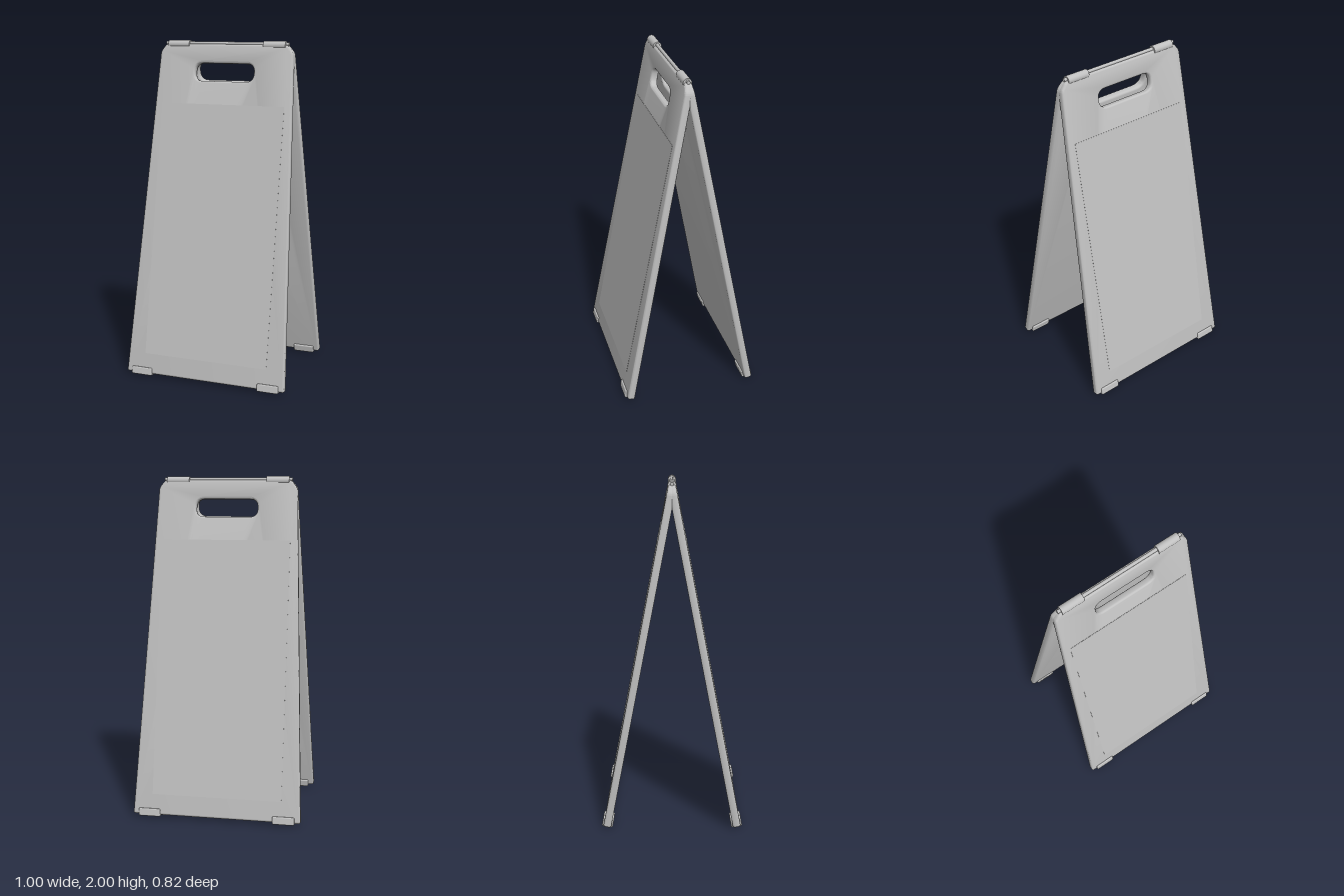
import * as THREE from 'three';
import { toCreasedNormals } from 'three/addons/utils/BufferGeometryUtils.js';
import { RoundedBoxGeometry } from 'three/addons/geometries/RoundedBoxGeometry.js';

const TILT = Math.atan(0.38 / 1.96);   // lean of each board
const LENGTH = 1.997;                  // board length along its slope
const THICK = 0.045;
const BEVEL = 0.012;

// Closed outline with rounded corners; each corner is [x, y, radius]
function roundedOutline(corners, PathClass) {
  const path = new PathClass();
  corners.forEach(([x, y, r], i) => {
    const p = new THREE.Vector2(x, y);
    const towards = (j) => {
      const c = corners[(j + corners.length) % corners.length];
      return new THREE.Vector2(c[0], c[1]).sub(p).setLength(r).add(p);
    };
    const a = towards(i - 1), b = towards(i + 1);
    if (i === 0) path.moveTo(a.x, a.y); else path.lineTo(a.x, a.y);
    path.quadraticCurveTo(x, y, b.x, b.y);
  });
  path.closePath();
  return path;
}

// Tapered board with a grip slot; its outer face lies on z = 0
function boardGeometry() {
  const shape = roundedOutline([
    [-0.5, 0, 0.015], [0.5, 0, 0.015],
    [0.415, 1.95, 0.015], [0.38, LENGTH, 0.02],
    [-0.38, LENGTH, 0.02], [-0.415, 1.95, 0.015],
  ], THREE.Shape);
  shape.holes.push(roundedOutline([
    [-0.185, 1.778, 0.05], [-0.185, 1.885, 0.05],
    [0.185, 1.885, 0.05], [0.185, 1.778, 0.05],
  ], THREE.Path));
  const geo = new THREE.ExtrudeGeometry(shape, {
    depth: THICK - 2 * BEVEL, bevelEnabled: true, bevelThickness: BEVEL,
    bevelSize: BEVEL, bevelOffset: -BEVEL, bevelSegments: 3, curveSegments: 8,
  });
  geo.translate(0, 0, BEVEL - THICK);
  return toCreasedNormals(geo, 0.6);
}

export function createModel() {
  const model = new THREE.Group();
  model.name = 'foldingFloorSign';
  const plastic = new THREE.MeshStandardMaterial({ color: 0xc0c0c0 });
  plastic.name = 'greyPlastic';

  const add = (parent, name, geo, x, y, z) => {
    const mesh = new THREE.Mesh(geo, plastic);
    mesh.name = name;
    mesh.position.set(x, y, z);
    parent.add(mesh);
    return mesh;
  };

  const boardGeo = boardGeometry();
  const labelGeo = new THREE.BoxGeometry(0.77, 1.518, 0.004);
  const footGeo = new RoundedBoxGeometry(0.13, 0.046, 0.064, 2, 0.008);

  // Two leaning boards, each with a display face and two feet
  for (const [name, turn] of [['frontBoard', 0], ['backBoard', Math.PI]]) {
    const side = new THREE.Group();
    side.name = name + 'Side';
    side.rotation.y = turn;
    const lean = new THREE.Group();
    lean.name = name + 'Lean';
    lean.position.set(0, 0.02, 0.4);
    lean.rotation.x = -TILT;
    side.add(lean);
    model.add(side);

    add(lean, name, boardGeo, 0, 0, 0);
    add(lean, 'displayFace', labelGeo, 0, 0.881, -0.001);
    for (const s of [-1, 1]) add(lean, 'foot', footGeo, s * 0.4, 0.013, -0.023);
  }

  // Hinge rod and the two sleeves around it
  const rodGeo = new THREE.CylinderGeometry(0.01, 0.01, 0.77, 16).rotateZ(Math.PI / 2);
  add(model, 'hingeRod', rodGeo, 0, 1.983, 0);
  const sleeveGeo = new THREE.CylinderGeometry(0.025, 0.025, 0.135, 24).rotateZ(Math.PI / 2);
  for (const s of [-1, 1]) add(model, 'hingeSleeve', sleeveGeo, s * 0.299, 1.975, 0);

  return model;
}
